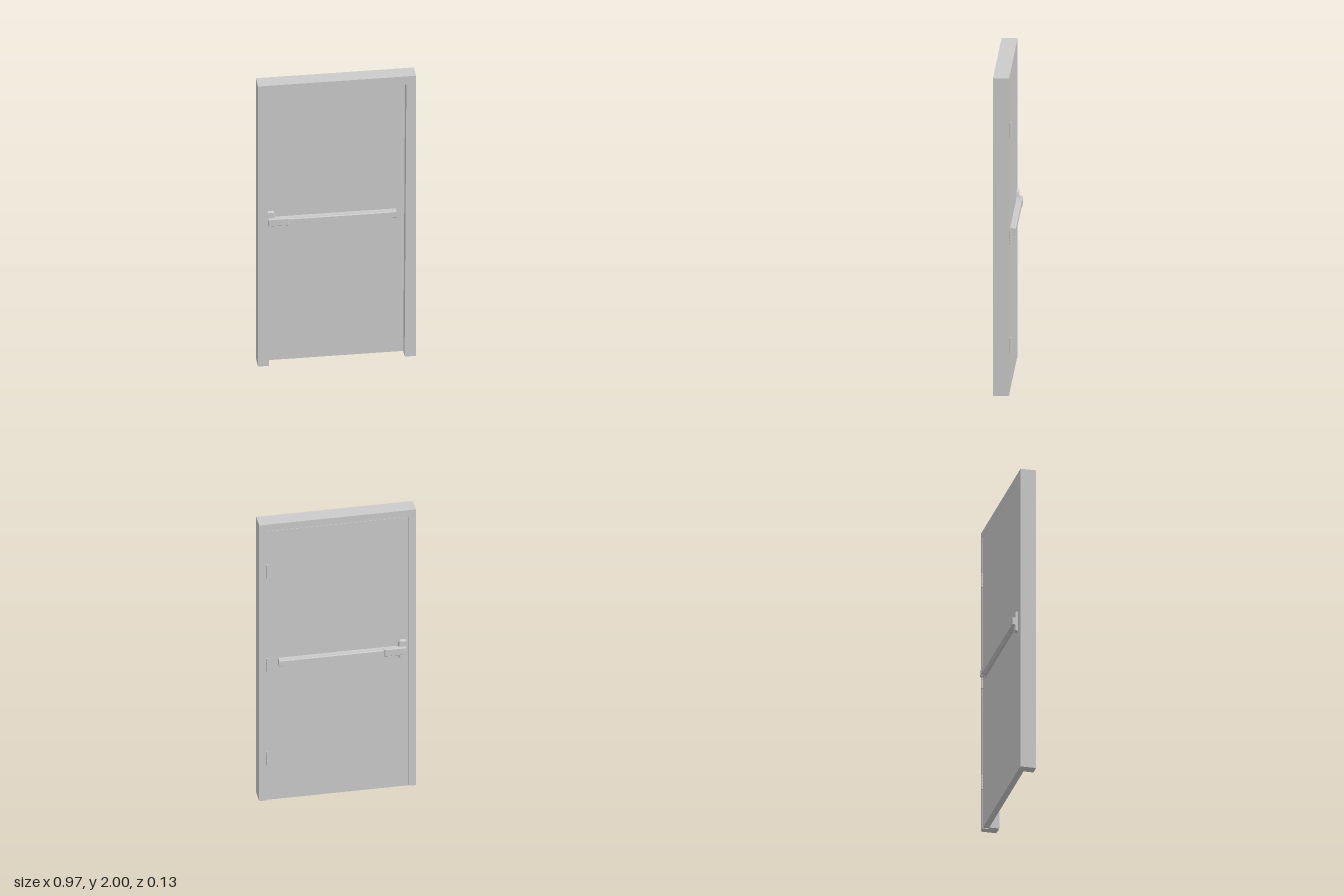
import * as THREE from 'three';

const mat = new THREE.MeshStandardMaterial({ color: 0xcccccc, flatShading: true });
const BACK = -0.033, FRONT = 0.065, LEAF_FRONT = 0.005;

function add(parent, name, geo, x = 0, y = 0, z = 0) {
  const m = new THREE.Mesh(geo, mat);
  m.name = name;
  m.position.set(x, y, z);
  parent.add(m);
  return m;
}

const polygon = (pts) => new THREE.Shape(pts.map(([x, y]) => new THREE.Vector2(x, y)));
const extrude = (pts, depth, bevel = 0) => new THREE.ExtrudeGeometry(polygon(pts), {
  depth, bevelEnabled: bevel > 0, bevelSize: bevel, bevelThickness: bevel, bevelOffset: -bevel, bevelSegments: 2,
});

// U-shaped frame outline; the opening may taper towards the floor
const frameOutline = (l0, l1, r1, r0, top) => [
  [-0.485, 0], [l0, 0], [l1, top], [r1, top], [r0, 0], [0.485, 0], [0.485, 2], [-0.485, 2],
];

// Raised solid with a smaller top face, z running from 0 to h
function taperedPlate(pts, h, cx, cy, sx, sy) {
  const g = extrude(pts, h);
  const p = g.attributes.position;
  for (let i = 0; i < p.count; i++) {
    if (p.getZ(i) > h / 2) {
      p.setX(i, cx + (p.getX(i) - cx) * sx);
      p.setY(i, cy + (p.getY(i) - cy) * sy);
    }
  }
  g.computeVertexNormals();
  return g;
}

// Push bar assembly built outward along +z from a door face at z = 0
function pushBar(name) {
  const g = new THREE.Group();
  g.name = name;

  // Flange with narrowed upper and lower ears
  const flange = [
    [-0.424, 0.937], [-0.385, 0.937], [-0.378, 0.945], [-0.372, 0.978], [-0.365, 0.982],
    [-0.365, 1.024], [-0.372, 1.028], [-0.378, 1.061], [-0.385, 1.069], [-0.424, 1.069],
  ];
  add(g, 'latchFlange', taperedPlate(flange, 0.016, -0.424, 1.003, 0.9, 0.9));

  // Latch housing, with a rounded outer end
  add(g, 'latchBase', new THREE.BoxGeometry(0.1, 0.045, 0.021), -0.33, 1.003, 0.0105);
  const cover = new THREE.Shape();
  cover.moveTo(-0.421, 0.016);
  cover.lineTo(-0.421, 0.026);
  cover.quadraticCurveTo(-0.421, 0.037, -0.408, 0.037);
  cover.lineTo(-0.297, 0.037);
  cover.lineTo(-0.284, 0.034);
  cover.lineTo(-0.28, 0.016);
  const coverGeo = new THREE.ExtrudeGeometry(cover, {
    depth: 0.043, bevelEnabled: true, bevelSize: 0.003, bevelThickness: 0.003, bevelOffset: -0.003, bevelSegments: 1,
  });
  coverGeo.rotateX(Math.PI / 2);
  coverGeo.scale(1, 1, 1);
  // after the turn the profile height lies along +z and the depth along -y
  add(g, 'latchCover', coverGeo, 0, 1.0245, 0);

  // Long bar: channel with a stepped pad on its face, section in (z, y)
  const section = [
    [0, 0.981], [0.022, 0.981], [0.024, 0.985], [0.034, 0.985],
    [0.034, 1.019], [0.024, 1.021], [0.022, 1.026], [0, 1.026],
  ];
  const bar = extrude(section.map(([z, y]) => [-z, y]), 0.633);
  bar.rotateY(Math.PI / 2);
  add(g, 'bar', bar, -0.283, 0, 0);

  // End cap
  const cap = extrude([[0, 0.98], [-0.031, 0.98], [-0.036, 0.986], [-0.036, 1.021], [-0.031, 1.027], [0, 1.027]].reverse(), 0.02);
  cap.rotateY(Math.PI / 2);
  add(g, 'endCap', cap, 0.348, 0, 0);
  return g;
}

export function createModel() {
  const model = new THREE.Group();
  model.name = 'door';

  // Frame: rear rebate that holds the leaf, narrower stop in front
  const frame = new THREE.Group();
  frame.name = 'frame';
  add(frame, 'frameRebate', extrude(frameOutline(-0.443, -0.443, 0.438, 0.438, 1.953), LEAF_FRONT - BACK), 0, 0, BACK);
  add(frame, 'frameStop', extrude(frameOutline(-0.419, -0.43, 0.426, 0.415, 1.944), FRONT - LEAF_FRONT), 0, 0, LEAF_FRONT);
  model.add(frame);

  // Door leaf, with a hairline gap to the frame
  add(model, 'leaf', new THREE.BoxGeometry(0.877, 1.947, LEAF_FRONT - BACK - 0.0005),
    -0.0025, 0.004 + 1.947 / 2, (LEAF_FRONT + BACK) / 2);

  // Push bars on both faces, the rear one mirrored in z
  const front = pushBar('frontPushBar');
  front.position.z = LEAF_FRONT;
  const rear = pushBar('rearPushBar');
  rear.position.z = BACK;
  rear.scale.z = -1;
  model.add(front, rear);

  // Three hinges, each with five knuckles on a thin pin
  for (const y of [0.308, 0.987, 1.665]) {
    const hinge = new THREE.Group();
    hinge.name = 'hinge';
    hinge.position.set(0.437, y, -0.039);
    add(hinge, 'pin', new THREE.CylinderGeometry(0.0055, 0.0055, 0.094, 16));
    for (let i = -2; i <= 2; i++) {
      add(hinge, 'knuckle', new THREE.CylinderGeometry(0.0065, 0.0065, 0.018, 16), 0, i * 0.019, 0);
    }
    add(hinge, 'hingeLeaf', new THREE.BoxGeometry(0.002, 0.094, 0.012), 0, 0, 0.006);
    model.add(hinge);
  }
  return model;
}
